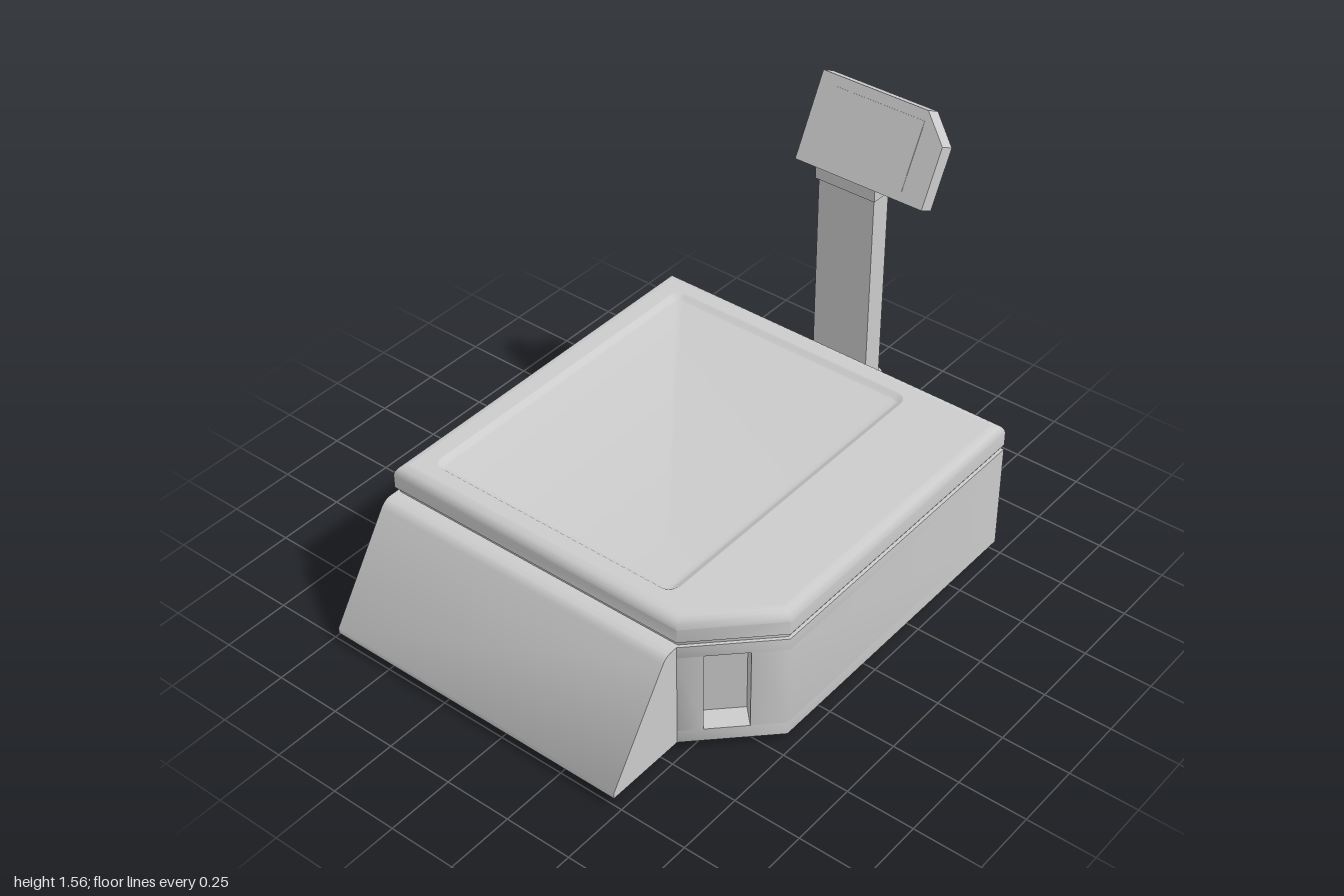
import * as THREE from 'three';
import { toCreasedNormals } from 'three/addons/utils/BufferGeometryUtils.js';

const grey = new THREE.MeshStandardMaterial({ color: 0xcccccc });

function part(parent, name, geometry, crease = 0.6) {
  const mesh = new THREE.Mesh(toCreasedNormals(geometry, crease), grey);
  mesh.name = name;
  parent.add(mesh);
  return mesh;
}

// Footprint with one cut corner, as [x, z], shrunk evenly by i
function footprint(i) {
  const m = 0.414 * i;
  return [[-0.73 + i, 0.69 - i], [0.47 - m, 0.69 - i], [0.72 - i, 0.44 - m], [0.72 - i, -0.76 + i], [-0.73 + i, -0.76 + i]];
}

const planShape = (pts) => new THREE.Shape(pts.map(([x, z]) => new THREE.Vector2(x, -z)));

// Upright slab from a plan outline
function slab(pts, y0, y1) {
  return new THREE.ExtrudeGeometry(planShape(pts), { depth: y1 - y0, bevelEnabled: false })
    .rotateX(-Math.PI / 2).translate(0, y0, 0);
}

// Skin over convex rings of [x, y, z], counter-clockwise from above
function loft(rings, capStart, capEnd) {
  const n = rings[0].length, last = (rings.length - 1) * n, index = [];
  for (let r = 0; r < rings.length - 1; r++) {
    for (let j = 0; j < n; j++) {
      const a = r * n + j, b = r * n + (j + 1) % n;
      index.push(a, b, b + n, a, b + n, a + n);
    }
  }
  for (let j = 1; j < n - 1; j++) {
    if (capStart) index.push(0, j + 1, j);
    if (capEnd) index.push(last, last + j, last + j + 1);
  }
  const g = new THREE.BufferGeometry();
  g.setAttribute('position', new THREE.Float32BufferAttribute(rings.flat(2), 3));
  g.setIndex(index);
  g.computeVertexNormals();
  return g;
}

const atHeight = (pts, y) => pts.map(([x, z]) => [x, y, z]);

// Rounded rectangle in plan, counter-clockwise from above
function roundedPlan(x0, x1, z0, z1, r) {
  const pts = [];
  [[x1 - r, z1 - r], [x1 - r, z0 + r], [x0 + r, z0 + r], [x0 + r, z1 - r]].forEach(([cx, cz], k) => {
    for (let s = 0; s <= 5; s++) {
      const a = (k - 1 + s / 5) * Math.PI / 2;
      pts.push([cx + r * Math.cos(a), cz - r * Math.sin(a)]);
    }
  });
  return pts;
}

// Column section with rounded rear corners; front and back are [z, y]
function section(w, front, back, r) {
  const d = Math.hypot(back[0] - front[0], back[1] - front[1]);
  const pts = [[-w, 0], [w, 0]];
  for (let k = 0; k < 2; k++) {
    for (let s = 0; s <= 5; s++) {
      const a = (k + s / 5) * Math.PI / 2;
      pts.push([(k ? -1 : 1) * (w - r) + r * Math.cos(a), d - r + r * Math.sin(a)]);
    }
  }
  return pts.map(([x, t]) => [x, front[1] + (back[1] - front[1]) * t / d, front[0] + (back[0] - front[0]) * t / d]);
}

export function createModel() {
  const model = new THREE.Group();
  model.name = 'countertopScale';

  // Housing, with a hand slot in the cut corner
  const plan = footprint(0);
  const notched = [...plan.slice(0, 2), [0.53, 0.63], [0.46, 0.58], [0.575, 0.465], [0.635, 0.525], ...plan.slice(2)];
  const body = new THREE.Group();
  body.name = 'body';
  model.add(body);
  part(body, 'bodyLower', slab(plan, 0.03, 0.08), 0.8);
  part(body, 'bodySlotBand', slab(notched, 0.08, 0.395), 0.8);
  part(body, 'bodyUpper', slab(plan, 0.395, 0.44), 0.8);
  part(body, 'shadowGap', slab(footprint(0.012), 0.44, 0.46), 0.8);

  // Sloped front
  const wedge = new THREE.Shape();
  wedge.moveTo(0.68, 0.03);
  wedge.lineTo(1, 0.03);
  wedge.lineTo(1, 0.052);
  wedge.lineTo(0.757, 0.415);
  wedge.quadraticCurveTo(0.74, 0.44, 0.712, 0.44);
  wedge.lineTo(0.68, 0.44);
  part(model, 'slopedFront', new THREE.ExtrudeGeometry(wedge, { depth: 1.2, bevelEnabled: false, curveSegments: 6 })
    .rotateY(-Math.PI / 2).translate(0.47, 0, 0));

  // Weighing tray with rounded rim and shallow recess
  const tray = new THREE.Group();
  tray.name = 'tray';
  model.add(tray);
  const rim = [[0, 0.46], [0, 0.512], [0.004, 0.528], [0.013, 0.541], [0.025, 0.548], [0.038, 0.55]];
  part(tray, 'trayRim', loft(rim.map(([i, y]) => atHeight(footprint(i), y)), true, false), 0.8);
  const top = planShape(footprint(0.038));
  const recess = (i) => roundedPlan(-0.635 + i, 0.38 - i, -0.675 + i, 0.605 - i, 0.045 - i);
  top.holes.push(planShape(recess(0)));
  part(tray, 'trayTop', new THREE.ShapeGeometry(top).rotateX(-Math.PI / 2).translate(0, 0.55, 0));
  part(tray, 'trayRecess', loft([[0, 0.55], [0.008, 0.547], [0.02, 0.537], [0.028, 0.535]]
    .map(([i, y]) => atHeight(recess(i), y)), false, true));

  // Feet
  for (const [x, z] of [[-0.66, 0.91], [0.365, 0.91], [-0.66, 0.37], [0.62, 0.37], [-0.66, -0.67], [0.62, -0.67]]) {
    part(model, 'foot', new THREE.CylinderGeometry(0.041, 0.041, 0.035, 24).translate(x, 0.0175, z));
  }

  // Rear bracket, post and bent neck
  const column = (name, w, r, sections) =>
    part(model, name, loft(sections.map(([f, b]) => section(w, f, b, r)), true, true));
  column('postBracket', 0.122, 0.035, [[[-0.755, 0.075], [-0.92, 0.075]], [[-0.755, 0.4], [-0.92, 0.4]]]);
  column('post', 0.114, 0.03, [[[-0.8, 0.39], [-0.905, 0.39]], [[-0.8, 1.2], [-0.905, 1.2]]]);
  column('neck', 0.122, 0.04, [
    [[-0.79, 1.175], [-0.917, 1.175]],
    [[-0.79, 1.265], [-0.917, 1.265]],
    [[-0.797, 1.3], [-0.926, 1.3]],
    [[-0.885, 1.495], [-0.997, 1.437]],
  ]);

  // Tilted display head with one cut corner
  const head = new THREE.Group();
  head.name = 'displayHead';
  head.position.set(0, 1.25, -0.767);
  head.rotation.x = -0.485;
  model.add(head);
  const face = new THREE.Shape([[-0.15, 0], [0.36, 0], [0.36, 0.217], [0.27, 0.311], [-0.15, 0.311]]
    .map(([x, y]) => new THREE.Vector2(x, y)));
  part(head, 'displayCase', new THREE.ExtrudeGeometry(face, { depth: 0.065, bevelEnabled: false }));
  part(head, 'displayWindow', new THREE.BoxGeometry(0.355, 0.24, 0.004).translate(0.0925, 0.155, 0.065));

  return model;
}
